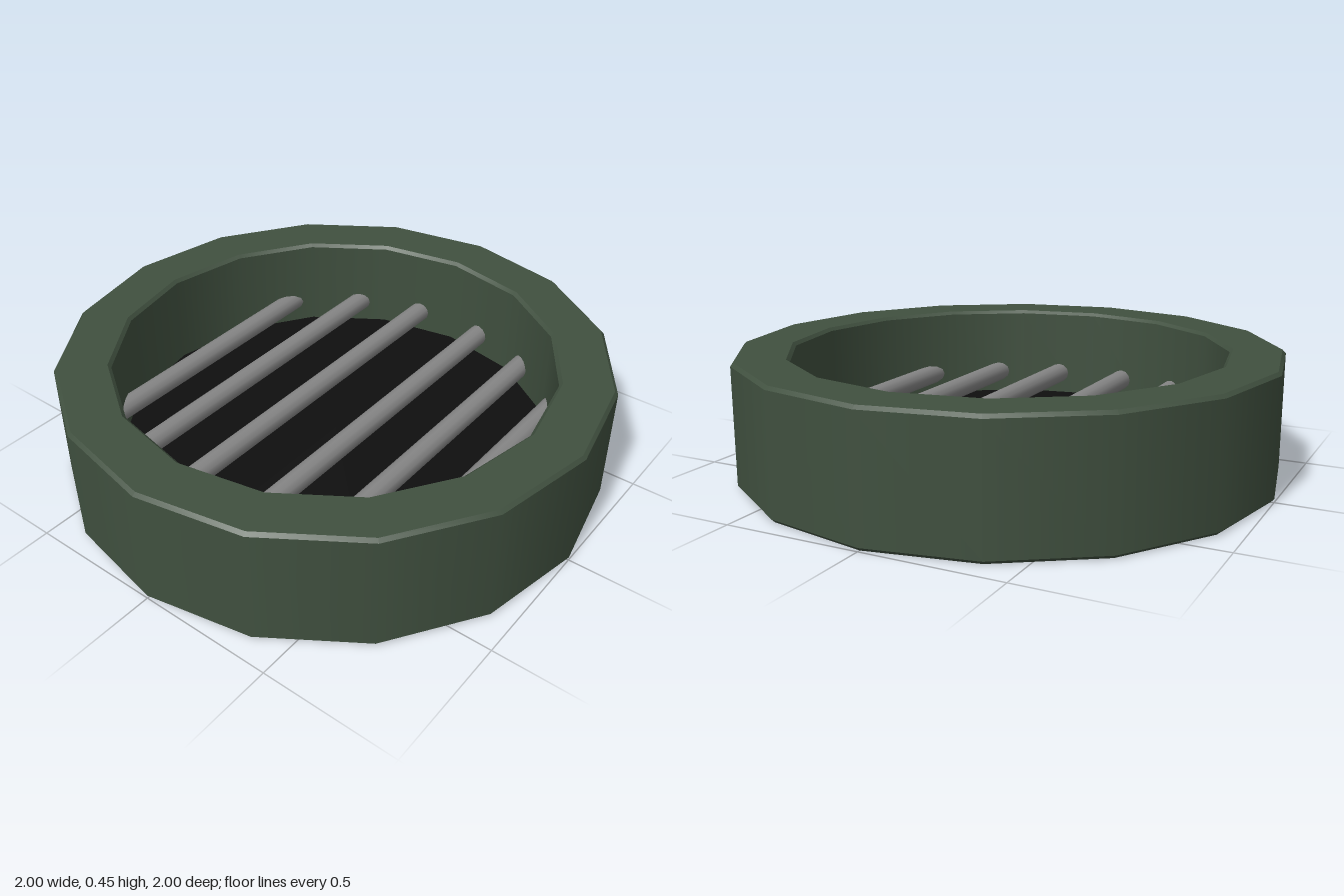
import * as THREE from 'three';
import { mergeGeometries } from 'three/addons/utils/BufferGeometryUtils.js';

const SIDES = 16;

function paint(name, color) {
  const material = new THREE.MeshStandardMaterial({ color });
  material.name = name;
  return material;
}

// Closed ring: smooth around its axis, sharp between the bands of its profile
function ringGeometry(inner, outer, height, bevel) {
  const profile = [
    [outer - bevel, 0], [outer, bevel],
    [outer, height - bevel], [outer - bevel, height],
    [inner + bevel, height], [inner, height - bevel],
    [inner, bevel], [inner + bevel, 0],
  ].map(([r, y]) => new THREE.Vector2(r, y));
  const bands = profile.map((p, i) =>
    new THREE.LatheGeometry([p, profile[(i + 1) % profile.length]], SIDES));
  return mergeGeometries(bands);
}

export function createModel() {
  const model = new THREE.Group();
  model.name = 'roundGrate';

  const green = paint('dark green', 0x40503f);
  const grey = paint('bar grey', 0x868686);
  const black = paint('black', 0x0f0f0f);

  // Outer frame
  const frame = new THREE.Mesh(ringGeometry(0.8, 1, 0.45, 0.012), green);
  frame.name = 'frame';
  model.add(frame);

  // Dark plate closing the opening near the bottom
  const plate = new THREE.Mesh(new THREE.CylinderGeometry(0.805, 0.805, 0.02, SIDES), black);
  plate.name = 'backPlate';
  plate.position.y = 0.085;
  model.add(plate);

  // Parallel bars whose ends are buried in the frame
  const bars = new THREE.Group();
  bars.name = 'bars';
  for (const x of [0.147, 0.4, 0.63]) {
    for (const side of [-1, 1]) {
      const length = 2 * Math.sqrt(0.88 ** 2 - x ** 2);
      const bar = new THREE.Mesh(new THREE.CylinderGeometry(0.04, 0.04, length, 12), grey);
      bar.name = 'bar';
      bar.rotation.x = Math.PI / 2;
      bar.position.set(side * x, 0.18, 0);
      bars.add(bar);
    }
  }
  model.add(bars);

  return model;
}
